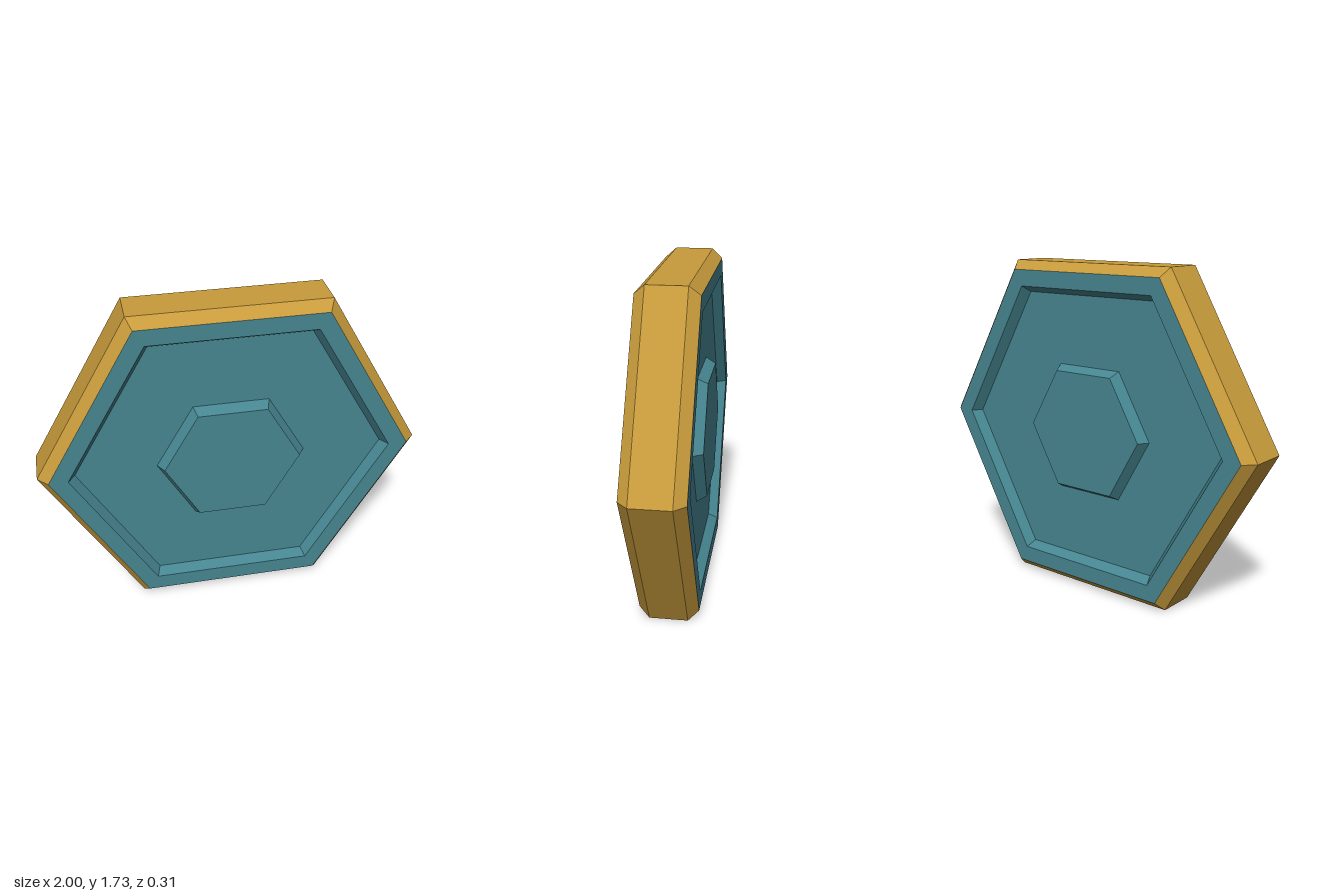
import * as THREE from 'three';

const CENTRE_Y = Math.sqrt(3) / 2;

const gold = new THREE.MeshStandardMaterial({ color: 0xc89b3c, flatShading: true });
gold.name = 'gold';
const teal = new THREE.MeshStandardMaterial({ color: 0x468691, flatShading: true });
teal.name = 'teal';

// Six-sided ring swept from [radius, depth] pairs, with corners on the x axis
function hexSweep(name, profile, material, turn) {
  const points = profile.map(([r, d]) => new THREE.Vector2(r, d));
  const geometry = new THREE.LatheGeometry(points, 6, Math.PI / 2);
  geometry.rotateX(turn);
  const mesh = new THREE.Mesh(geometry, material);
  mesh.name = name;
  mesh.position.y = CENTRE_Y;
  return mesh;
}

export function createModel() {
  const model = new THREE.Group();
  model.name = 'hexagonalTile';

  // Outer band with a bevel on both edges
  model.add(hexSweep('rim', [[0.945, -0.155], [1, -0.1], [1, 0.1], [0.945, 0.155]], gold, Math.PI / 2));

  // Face: border, sloped recess and raised centre boss, the same front and back
  const face = [[0.945, 0.155], [0.846, 0.155], [0.81, 0.104], [0.389, 0.104]];
  const boss = [[0.389, 0.104], [0.356, 0.157], [0, 0.157]];
  for (const [side, turn] of [['front', Math.PI / 2], ['back', -Math.PI / 2]]) {
    model.add(hexSweep(side + 'Panel', face, teal, turn));
    model.add(hexSweep(side + 'Boss', boss, teal, turn));
  }
  return model;
}
